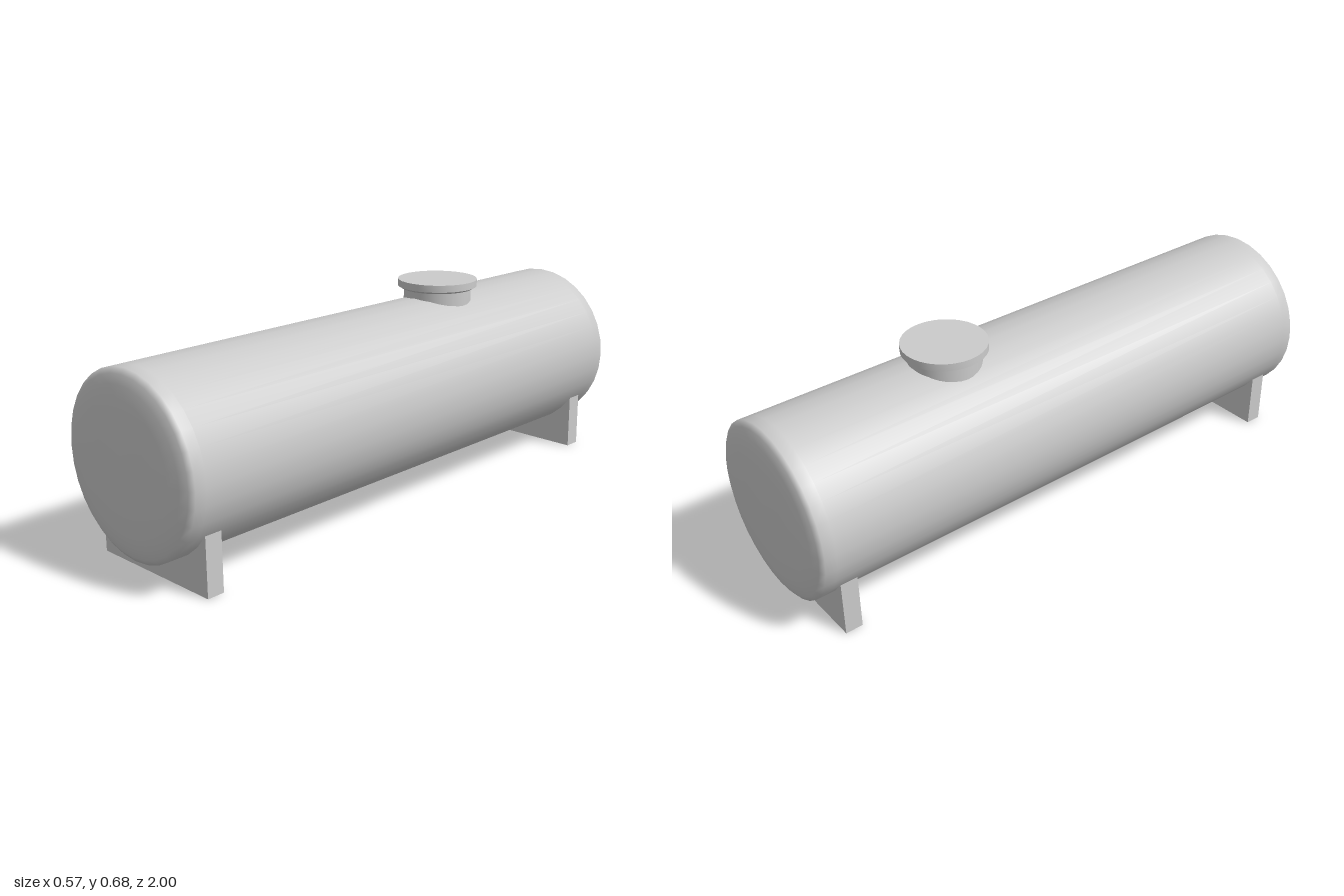
import * as THREE from 'three';
import { toCreasedNormals } from 'three/addons/utils/BufferGeometryUtils.js';

const R = 0.284, CY = 0.345, SIDES = 32;

function lathe(points) {
  return new THREE.LatheGeometry(points.map(([r, y]) => new THREE.Vector2(r, y)), SIDES);
}

export function createModel() {
  const group = new THREE.Group();
  const material = new THREE.MeshStandardMaterial({ color: 0xcccccc });
  const add = (name, geometry, x, y, z) => {
    const mesh = new THREE.Mesh(geometry, material);
    mesh.name = name;
    mesh.position.set(x, y, z);
    group.add(mesh);
    return mesh;
  };

  // Tank shell: a long cylinder with shallow dished ends
  const end = [[0, 1], [0.12, 0.999], [0.2, 0.995], [0.24, 0.988], [0.267, 0.979], [R, 0.968], [R, 0.93]];
  const profile = [...end.map(([r, y]) => [r, -y]), ...end.slice().reverse()];
  add('tank', lathe(profile).rotateX(Math.PI / 2), 0, CY, 0);

  // Manhole neck and lid on top, towards the back
  const neck = new THREE.CylinderGeometry(0.116, 0.116, 0.13, SIDES, 1, true);
  add('manholeNeck', neck, 0, 0.592, -0.345);
  const lid = lathe([[0, 0.653], [0.124, 0.653], [0.136, 0.66], [0.136, 0.684], [0, 0.684]]);
  add('manholeLid', toCreasedNormals(lid, 0.5), 0, 0, -0.345);

  // Two saddles, each a plate with a cradle cut to the tank's curve
  const W = 0.237, T = 0.057;
  const shape = new THREE.Shape();
  shape.moveTo(-W, 0);
  shape.lineTo(W, 0);
  for (let i = 5; i >= -5; i--) {
    const a = (i * 2 * Math.PI) / SIDES;
    shape.lineTo(R * Math.sin(a), CY - R * Math.cos(a));
  }
  shape.closePath();
  for (const [name, z] of [['frontSaddle', 0.876], ['backSaddle', -0.876]]) {
    const plate = new THREE.ExtrudeGeometry(shape, { depth: T, bevelEnabled: false });
    add(name, plate, 0, 0, z - T / 2);
  }
  return group;
}
